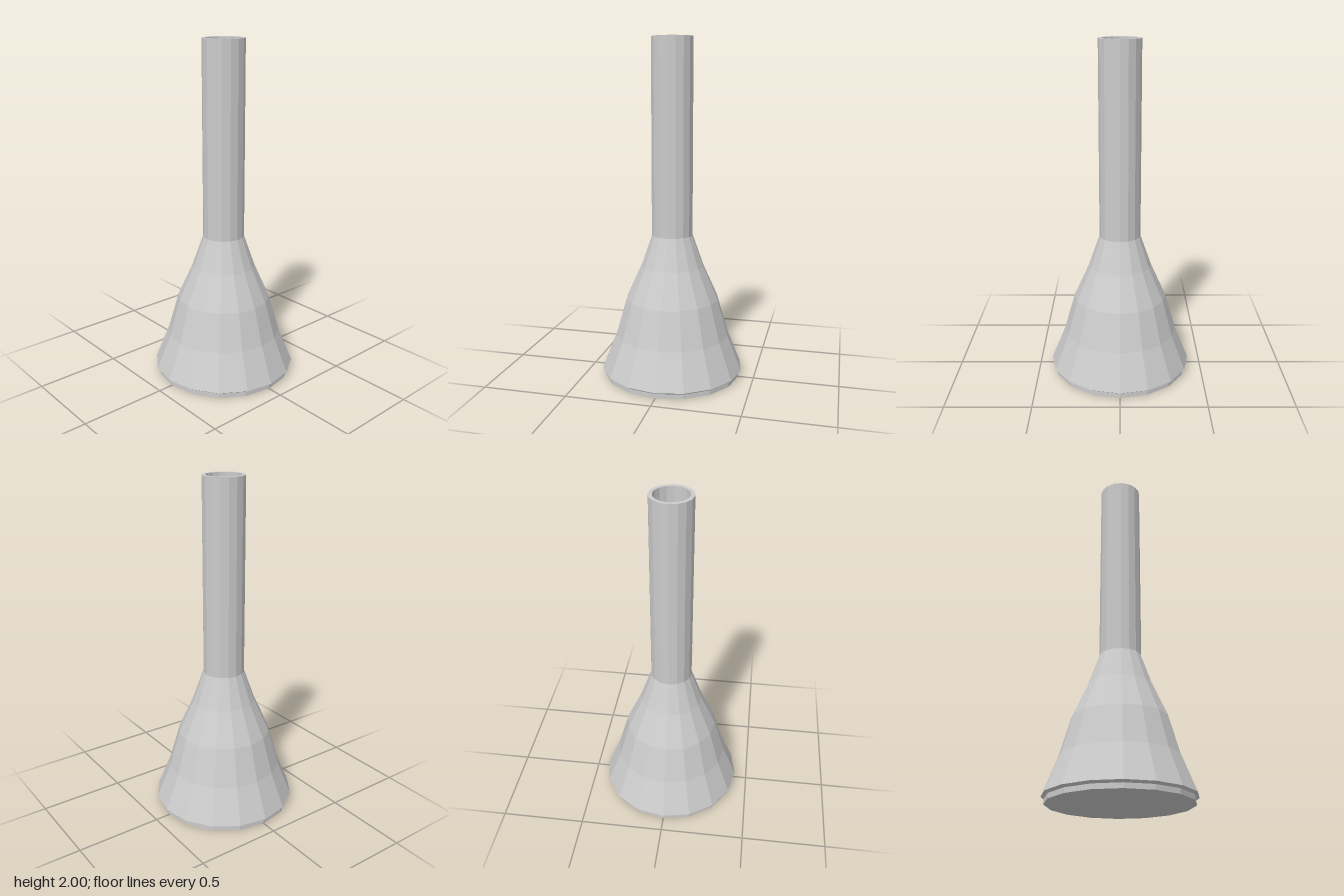
import * as THREE from 'three';

const SIDES = 16;

// Faceted solid of revolution from [radius, height] pairs, listed bottom to top
function turned(name, profile, material) {
  const points = profile.map(([r, y]) => new THREE.Vector2(r, y));
  const mesh = new THREE.Mesh(new THREE.LatheGeometry(points, SIDES), material);
  mesh.name = name;
  return mesh;
}

export function createModel() {
  const group = new THREE.Group();
  group.name = 'flaredTube';
  const material = new THREE.MeshStandardMaterial({ color: 0xcccccc, flatShading: true });

  // Short foot, closed underneath
  group.add(turned('foot', [[0, 0], [0.407, 0], [0.407, 0.028]], material));

  // Flared bell with a small overhanging lip
  group.add(turned('bell', [
    [0.407, 0.028], [0.424, 0.04], [0.34, 0.25], [0.277, 0.47], [0.187, 0.67], [0.122, 0.855],
  ], material));

  // Neck: outer wall, flat rim, then the bore down to its floor
  group.add(turned('neck', [
    [0.122, 0.855], [0.122, 2], [0.1, 2], [0.1, 0.855], [0, 0.855],
  ], material));

  return group;
}
